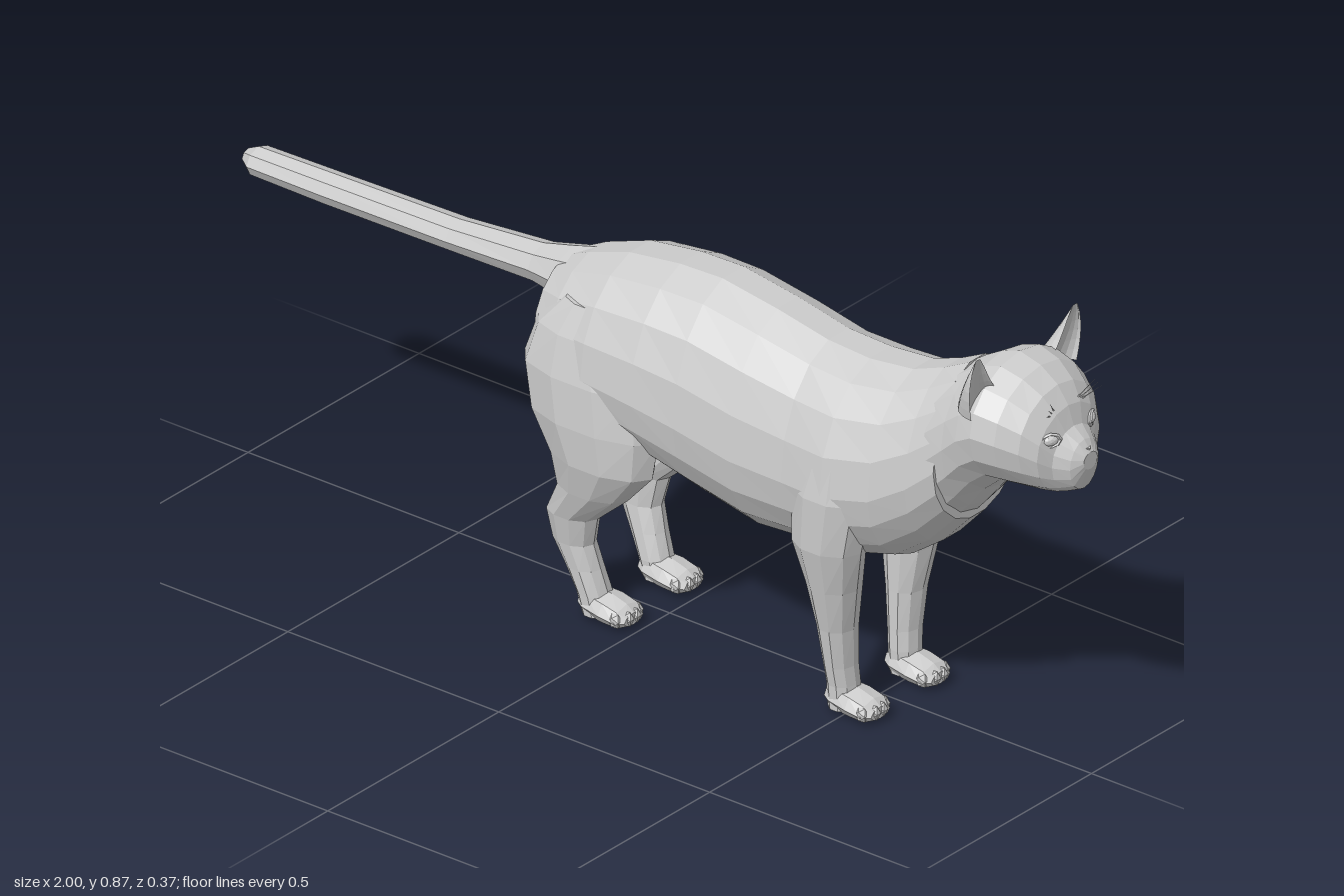
import * as THREE from 'three';

const material = new THREE.MeshStandardMaterial({ color: 0xcccccc, flatShading: true });
const thin = new THREE.MeshStandardMaterial({ color: 0xcccccc, flatShading: true, side: THREE.DoubleSide });

// Skins a list of closed rings (each an array of [x, y, z]) and caps both ends
function loft(rings) {
  const n = rings[0].length, pos = rings.flat(2), idx = [];
  for (let i = 0; i < rings.length - 1; i++) {
    for (let j = 0; j < n; j++) {
      const a = i * n + j, b = i * n + (j + 1) % n;
      idx.push(a, a + n, b, b, a + n, b + n);
    }
  }
  const cap = (ring, base, flip) => {
    const c = pos.length / 3;
    pos.push(...[0, 1, 2].map(k => ring.reduce((s, p) => s + p[k], 0) / n));
    for (let j = 0; j < n; j++) {
      const a = base + j, b = base + (j + 1) % n;
      idx.push(c, flip ? b : a, flip ? a : b);
    }
  };
  cap(rings[0], 0, false);
  cap(rings[rings.length - 1], (rings.length - 1) * n, true);
  const g = new THREE.BufferGeometry();
  g.setAttribute('position', new THREE.Float32BufferAttribute(pos, 3));
  g.setIndex(idx);
  g.computeVertexNormals();
  return g;
}

// Sections along x: [x, top, bottom, half width], widest at fraction mid of the height
function loftX(sections, sides, mid = 0.5, zc = 0) {
  return loft(sections.map(([x, top, bottom, hw]) => {
    const cy = bottom + (top - bottom) * mid;
    return Array.from({ length: sides }, (_, j) => {
      const a = j / sides * Math.PI * 2, s = Math.sin(a);
      return [x, cy + s * (s > 0 ? top - cy : cy - bottom), zc + Math.cos(a) * hw];
    });
  }));
}

// Sections from bottom to top: [y, x, z, radius x, radius z]
function loftY(sections, sides, side) {
  return loft(sections.map(([y, x, z, rx, rz]) =>
    Array.from({ length: sides }, (_, j) => {
      const a = j / sides * Math.PI * 2;
      return [x + rx * Math.cos(a), y, side * z + rz * Math.sin(a)];
    })));
}

const BODY = [
  [-0.255, 0.65, 0.52, 0.05], [-0.23, 0.68, 0.46, 0.115], [-0.17, 0.71, 0.41, 0.152],
  [-0.07, 0.745, 0.38, 0.176], [0.05, 0.762, 0.35, 0.18], [0.15, 0.765, 0.32, 0.176],
  [0.28, 0.745, 0.292, 0.175], [0.4, 0.72, 0.30, 0.17], [0.5, 0.715, 0.31, 0.18],
  [0.6, 0.725, 0.335, 0.163], [0.67, 0.75, 0.385, 0.14], [0.73, 0.78, 0.45, 0.13],
];
const HEAD = [
  [0.7, 0.755, 0.43, 0.128], [0.75, 0.79, 0.485, 0.132], [0.79, 0.813, 0.535, 0.141], [0.83, 0.825, 0.57, 0.147],
  [0.88, 0.812, 0.575, 0.138], [0.92, 0.785, 0.576, 0.116], [0.945, 0.75, 0.578, 0.092],
  [0.958, 0.712, 0.58, 0.064], [0.983, 0.692, 0.59, 0.042], [0.998, 0.67, 0.635, 0.02],
];
const TAIL = [
  [-1, 0.635, 0.605, 0.018], [-0.975, 0.647, 0.59, 0.036], [-0.8, 0.65, 0.588, 0.038],
  [-0.5, 0.655, 0.592, 0.041], [-0.3, 0.672, 0.595, 0.046], [-0.23, 0.69, 0.585, 0.06], [-0.16, 0.71, 0.56, 0.07],
];
const FRONT_LEG = [
  [0.01, 0.488, 0.09, 0.03, 0.034], [0.06, 0.485, 0.09, 0.03, 0.035], [0.1, 0.482, 0.094, 0.031, 0.037],
  [0.18, 0.48, 0.101, 0.038, 0.042], [0.27, 0.48, 0.111, 0.054, 0.051], [0.36, 0.478, 0.124, 0.076, 0.058],
  [0.47, 0.49, 0.125, 0.088, 0.06], [0.56, 0.5, 0.118, 0.06, 0.05], [0.6, 0.5, 0.11, 0.03, 0.03],
];
const HIND_LEG = [
  [0.01, -0.095, 0.09, 0.03, 0.034], [0.05, -0.105, 0.09, 0.033, 0.035], [0.1, -0.125, 0.094, 0.038, 0.034],
  [0.15, -0.145, 0.099, 0.045, 0.034], [0.21, -0.143, 0.105, 0.057, 0.039], [0.28, -0.085, 0.117, 0.08, 0.048],
  [0.35, -0.058, 0.125, 0.118, 0.058], [0.43, -0.075, 0.126, 0.15, 0.062], [0.52, -0.09, 0.122, 0.155, 0.06],
  [0.6, -0.1, 0.112, 0.12, 0.05], [0.66, -0.1, 0.1, 0.06, 0.035],
];

// Cupped ear shell, open toward the face
function earGeometry(side) {
  const rows = 6, cols = 8, pos = [], idx = [];
  for (let inner = 0; inner < 2; inner++) {
    for (let i = 0; i <= rows; i++) {
      const v = i / rows, w = 0.007 + 0.043 * Math.pow(1 - v, 0.8);
      const depth = (inner ? 0.025 : 0.06) * (1 - v) + 0.002;
      for (let j = 0; j <= cols; j++) {
        const a = j / cols * Math.PI;
        pos.push(0.84 + 0.006 * v - Math.sin(a) * depth, 0.745 + 0.123 * v,
          side * (0.104 + 0.038 * v + 0.008 * Math.sin(v * Math.PI) - Math.cos(a) * w));
      }
    }
  }
  const layer = (rows + 1) * (cols + 1);
  for (let k = 0; k < 2; k++) for (let i = 0; i < rows; i++) for (let j = 0; j < cols; j++) {
    const a = k * layer + i * (cols + 1) + j, b = a + cols + 1;
    idx.push(a, a + 1, b, a + 1, b + 1, b);
  }
  const g = new THREE.BufferGeometry();
  g.setAttribute('position', new THREE.Float32BufferAttribute(pos, 3));
  g.setIndex(idx);
  g.computeVertexNormals();
  return g;
}

export function createModel() {
  const model = new THREE.Group();
  model.name = 'cat';
  const add = (name, geometry, mat = material, parent = model) => {
    const mesh = new THREE.Mesh(geometry, mat);
    mesh.name = name;
    parent.add(mesh);
    return mesh;
  };

  add('body', loftX(BODY, 18, 0.42));
  add('head', loftX(HEAD, 16, 0.52));
  add('tail', loftX(TAIL, 8));

  // Nose wedge
  const nose = add('nose', new THREE.ConeGeometry(0.022, 0.026, 3));
  nose.position.set(0.987, 0.665, 0);
  nose.rotation.set(Math.PI, Math.PI / 2, 0);
  nose.scale.z = 0.5;

  for (const side of [1, -1]) {
    const label = side > 0 ? 'left' : 'right';

    // Legs with paws and toes
    for (const [kind, sections, heel] of [['Front', FRONT_LEG, 0.455], ['Hind', HIND_LEG, -0.13]]) {
      const leg = new THREE.Group();
      leg.name = label + kind + 'Leg';
      model.add(leg);
      add('limb', loftY(sections, 10, side), material, leg);
      add('paw', loftX([
        [heel, 0.045, 0.012, 0.022], [heel + 0.02, 0.06, 0.002, 0.036], [heel + 0.065, 0.055, 0, 0.043],
        [heel + 0.1, 0.045, 0, 0.042], [heel + 0.116, 0.032, 0.008, 0.028],
      ], 8, 0.45, side * 0.088), material, leg);
      for (let t = 0; t < 4; t++) {
        const toe = add('toe', new THREE.IcosahedronGeometry(0.013, 0), material, leg);
        const outer = t === 0 || t === 3;
        toe.position.set(heel + (outer ? 0.097 : 0.109), 0.022, side * 0.088 + (t - 1.5) * 0.021);
        toe.scale.set(1.1, 1.3, 0.9);
      }
    }

    add(label + 'Ear', earGeometry(side), thin);

    // Almond eye with raised lids
    const eye = new THREE.Group();
    eye.name = label + 'Eye';
    eye.position.set(0.951, 0.702, side * 0.06);
    eye.rotation.set(0, Math.PI / 2 - side * 0.55, 0);
    model.add(eye);
    add('eyeball', new THREE.IcosahedronGeometry(0.016, 1), material, eye).scale.set(1, 0.65, 0.5);
    add('eyelids', new THREE.TorusGeometry(0.018, 0.004, 4, 8), material, eye).scale.set(1.1, 0.75, 1);

    // Brow hairs
    for (let k = 0; k < 3; k++) {
      const hair = add(label + 'BrowHair', new THREE.ConeGeometry(0.0018, 0.05, 3));
      hair.position.set(0.948, 0.752 + k * 0.008, side * (0.062 - k * 0.005));
      const dir = new THREE.Vector3(0.5, 0.5 + k * 0.2, side * 0.9).normalize();
      hair.quaternion.setFromUnitVectors(new THREE.Vector3(0, 1, 0), dir);
    }
  }
  return model;
}
